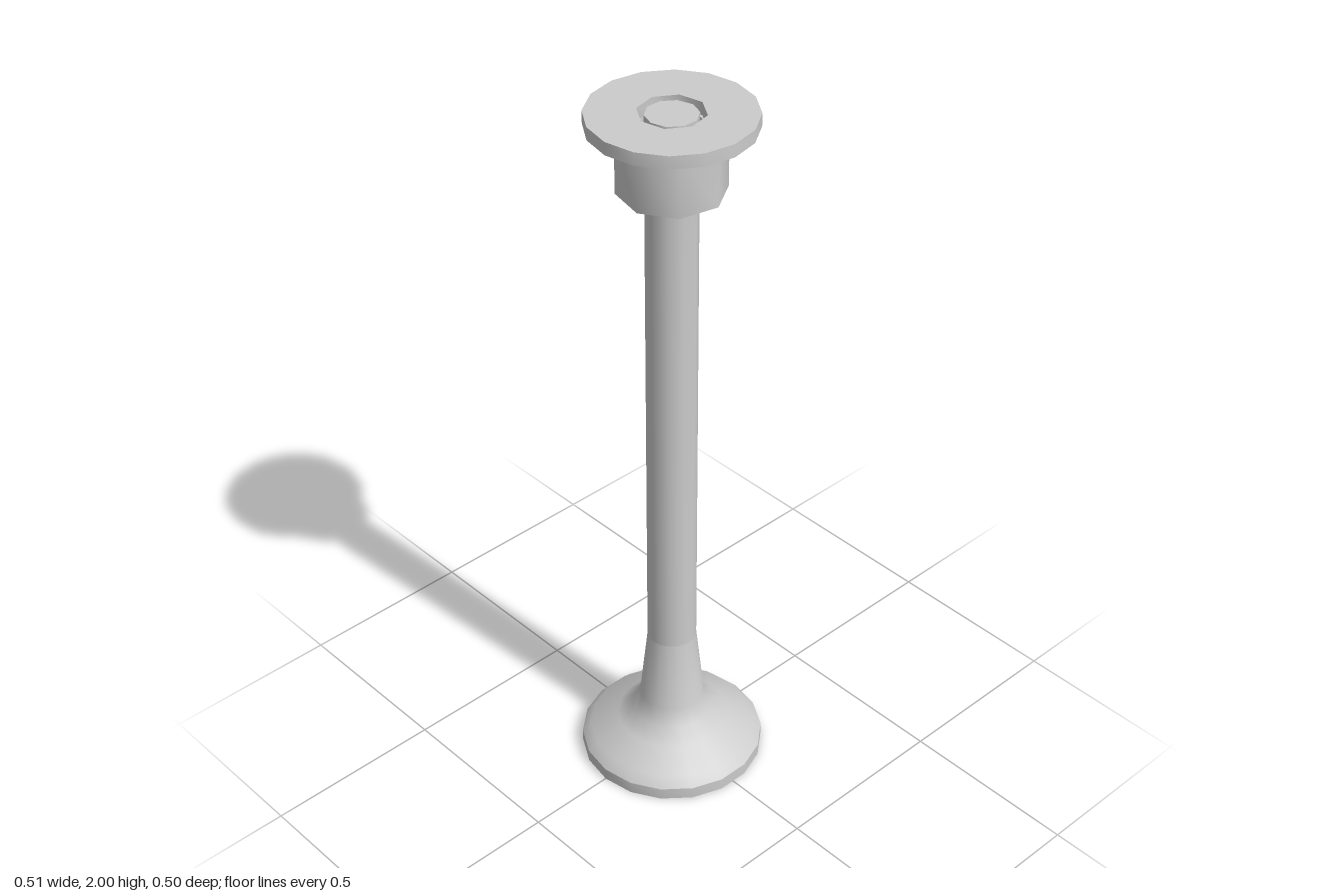
import * as THREE from 'three';
import { toCreasedNormals } from 'three/addons/utils/BufferGeometryUtils.js';

const STEM_R = 0.067, STEM_FOOT = 0.395, HEAD_SIDES = 18, TIP_SIDES = 10;
const TWIST = Math.PI / 18; // the collar and its bore are turned by 10 degrees

function lathe(profile, sides, turn, crease) {
  const points = profile.map(([r, y]) => new THREE.Vector2(r, y));
  return toCreasedNormals(new THREE.LatheGeometry(points, sides, Math.PI / 2 - turn), crease);
}

function ring(radius, sides, turn = 0) {
  return Array.from({ length: sides }, (_, i) => {
    const a = (i / sides) * Math.PI * 2 + turn;
    return new THREE.Vector2(radius * Math.cos(a), radius * Math.sin(a));
  });
}

// Closed strip of triangles between two rings with different numbers of sides
function loft(r, y0, n0, y1, n1) {
  const positions = [], normals = [], index = [];
  for (const [y, n] of [[y0, n0], [y1, n1]]) {
    for (const p of ring(r, n)) {
      positions.push(p.x, y, -p.y);
      normals.push(p.x / r, 0, -p.y / r);
    }
  }
  let i = 0, j = 0;
  while (i < n0 || j < n1) {
    const a = i % n0, b = n0 + (j % n1);
    if (j >= n1 || (i < n0 && (i + 0.5) / n0 <= (j + 0.5) / n1)) {
      i++;
      index.push(a, i % n0, b);
    } else {
      j++;
      index.push(a, n0 + (j % n1), b);
    }
  }
  const geometry = new THREE.BufferGeometry();
  geometry.setAttribute('position', new THREE.Float32BufferAttribute(positions, 3));
  geometry.setAttribute('normal', new THREE.Float32BufferAttribute(normals, 3));
  geometry.setIndex(index);
  return geometry;
}

export function createModel() {
  const model = new THREE.Group();
  const material = new THREE.MeshStandardMaterial({ color: 0xcccccc });
  const add = (name, geometry) => {
    const mesh = new THREE.Mesh(geometry, material);
    mesh.name = name;
    model.add(mesh);
    return mesh;
  };

  // Flared head with a flat underside and a short vertical rim
  add('head', lathe([
    [0, 0], [0.253, 0], [0.253, 0.035], [0.227, 0.063], [0.152, 0.1],
    [0.11, 0.133], [0.089, 0.185], [STEM_R, STEM_FOOT],
  ], HEAD_SIDES, 0, 0.65));

  // Long stem and its flat tip
  add('stem', loft(STEM_R, STEM_FOOT, HEAD_SIDES, 1.995, TIP_SIDES));
  const tip = add('stemTip', new THREE.CircleGeometry(STEM_R, TIP_SIDES).rotateX(-Math.PI / 2));
  tip.position.y = 1.995;

  // Octagonal collar with a tapered bore
  add('collar', lathe([
    [0.07, 1.79], [0.138, 1.79], [0.138, 1.965], [0.084, 1.965], [0.07, 1.79],
  ], 8, -TWIST, 0.9));

  // Flat retainer disc with an octagonal hole
  const disc = new THREE.Shape(ring(0.212, 16));
  disc.holes.push(new THREE.Path(ring(0.086, 8, -TWIST)));
  const discGeometry = new THREE.ExtrudeGeometry(disc, { depth: 0.035, bevelEnabled: false });
  discGeometry.rotateX(-Math.PI / 2).translate(0, 1.965, 0);
  add('retainerDisc', toCreasedNormals(discGeometry, 0.9));

  return model;
}
